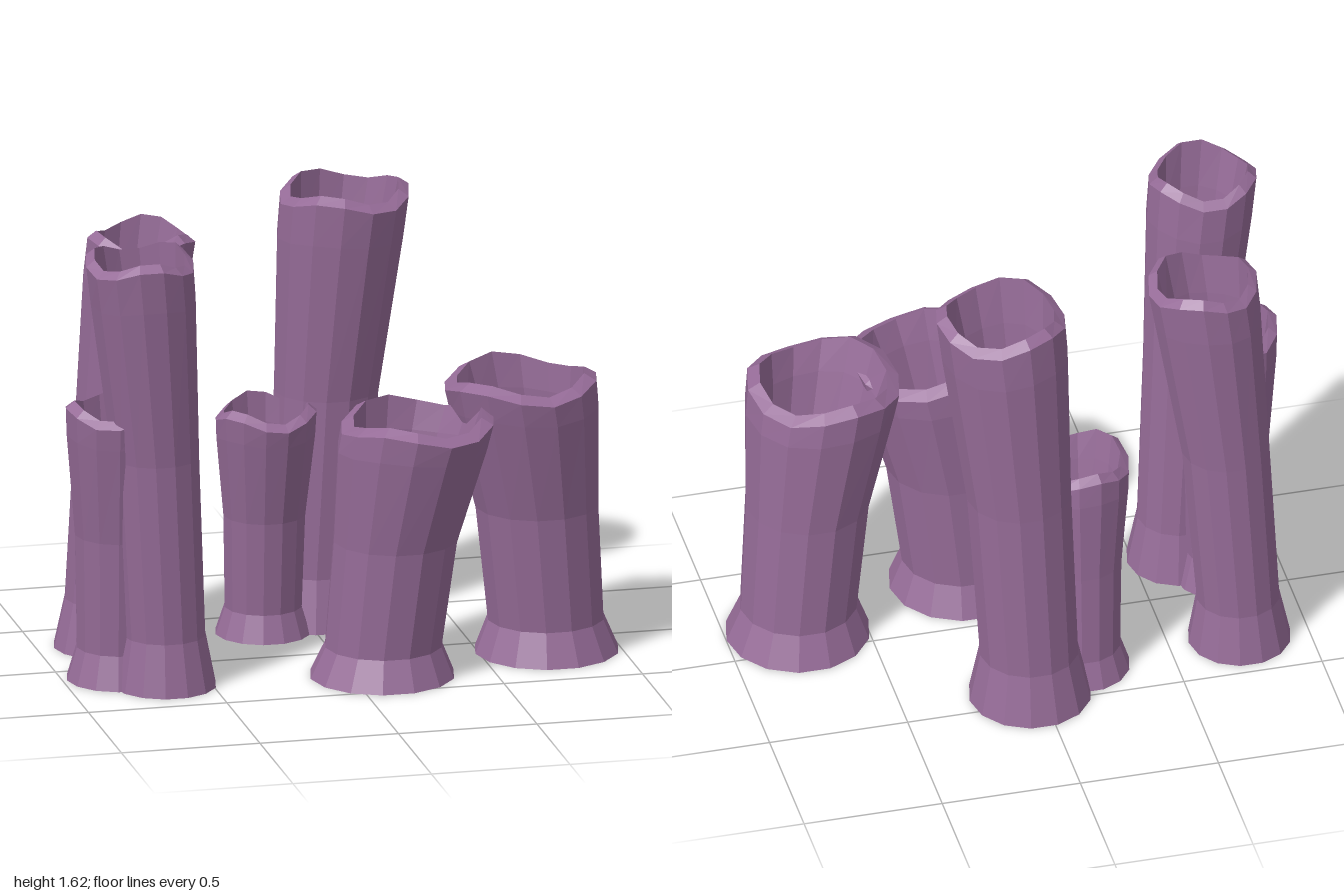
import * as THREE from 'three';

const SIDES = 14;

// Wall section: [radius factor, height fraction, rim wave weight, extra height].
// Runs up the outside, over the rim, down the bore and out under the flared foot.
const SECTION = [
  [1.0, 0, 0, 0],
  [0.81, 0.12, 0, 0],
  [0.86, 0.54, 0, 0],
  [1.04, 0.91, 0.4, 0],
  [1.06, 1, 1, 0],
  [0.89, 1, 1, 0.025],
  [0.8, 0.91, 0.4, 0],
  [0.62, 0.54, 0, 0],
  [0.46, 0.14, 0, 0],
  [1.0, 0, 0, 0],
];

// Leaning hollow tube; base and top are [x, z], peak is the angle of one rim crest
function tubeGeometry({ base, top, radius, height, peak }) {
  const positions = [];
  const index = [];
  for (const [r, h, wave, extra] of SECTION) {
    const lean = Math.pow(h, 1.6);
    const cx = THREE.MathUtils.lerp(base[0], top[0], lean);
    const cz = THREE.MathUtils.lerp(base[1], top[1], lean);
    for (let i = 0; i < SIDES; i++) {
      const a = (i / SIDES) * Math.PI * 2;
      positions.push(
        cx + Math.cos(a) * radius * r,
        h * height + extra + wave * 0.022 * Math.cos(3 * (a - peak)),
        cz + Math.sin(a) * radius * r
      );
    }
  }
  for (let j = 0; j < SECTION.length - 1; j++) {
    for (let i = 0; i < SIDES; i++) {
      const n = (i + 1) % SIDES;
      const a = j * SIDES + i, b = j * SIDES + n;
      const c = a + SIDES, d = b + SIDES;
      index.push(a, c, b, b, c, d);
    }
  }
  const geometry = new THREE.BufferGeometry();
  geometry.setAttribute('position', new THREE.Float32BufferAttribute(positions, 3));
  geometry.setIndex(index);
  geometry.computeVertexNormals();
  return geometry;
}

const TUBES = [
  { name: 'tallBackTube', base: [0.04, -0.43], top: [0.125, -0.345], radius: 0.218, height: 1.575, peak: 0 },
  { name: 'tallFrontTube', base: [-0.66, 0.235], top: [-0.77, 0.31], radius: 0.182, height: 1.575, peak: Math.PI / 2 },
  { name: 'tallRearTube', base: [-0.755, -0.28], top: [-0.64, -0.21], radius: 0.183, height: 1.5, peak: 0.9 },
  { name: 'mediumSideTube', base: [-0.8, 0.11], top: [-0.81, 0.18], radius: 0.184, height: 1.0, peak: 1.0 },
  { name: 'wideLeftTube', base: [0.742, 0.128], top: [0.632, 0.195], radius: 0.257, height: 1.01, peak: 0.3 },
  { name: 'wideFrontTube', base: [0.11, 0.29], top: [0.22, 0.365], radius: 0.258, height: 0.935, peak: 0.1 },
  { name: 'shortTube', base: [-0.177, -0.31], top: [-0.185, -0.23], radius: 0.171, height: 0.82, peak: 0.4 },
];

export function createModel() {
  const group = new THREE.Group();
  group.name = 'tubeCluster';
  const material = new THREE.MeshStandardMaterial({
    color: 0x966c98,
    flatShading: true,
    side: THREE.DoubleSide,
  });
  for (const tube of TUBES) {
    const mesh = new THREE.Mesh(tubeGeometry(tube), material);
    mesh.name = tube.name;
    group.add(mesh);
  }
  return group;
}
